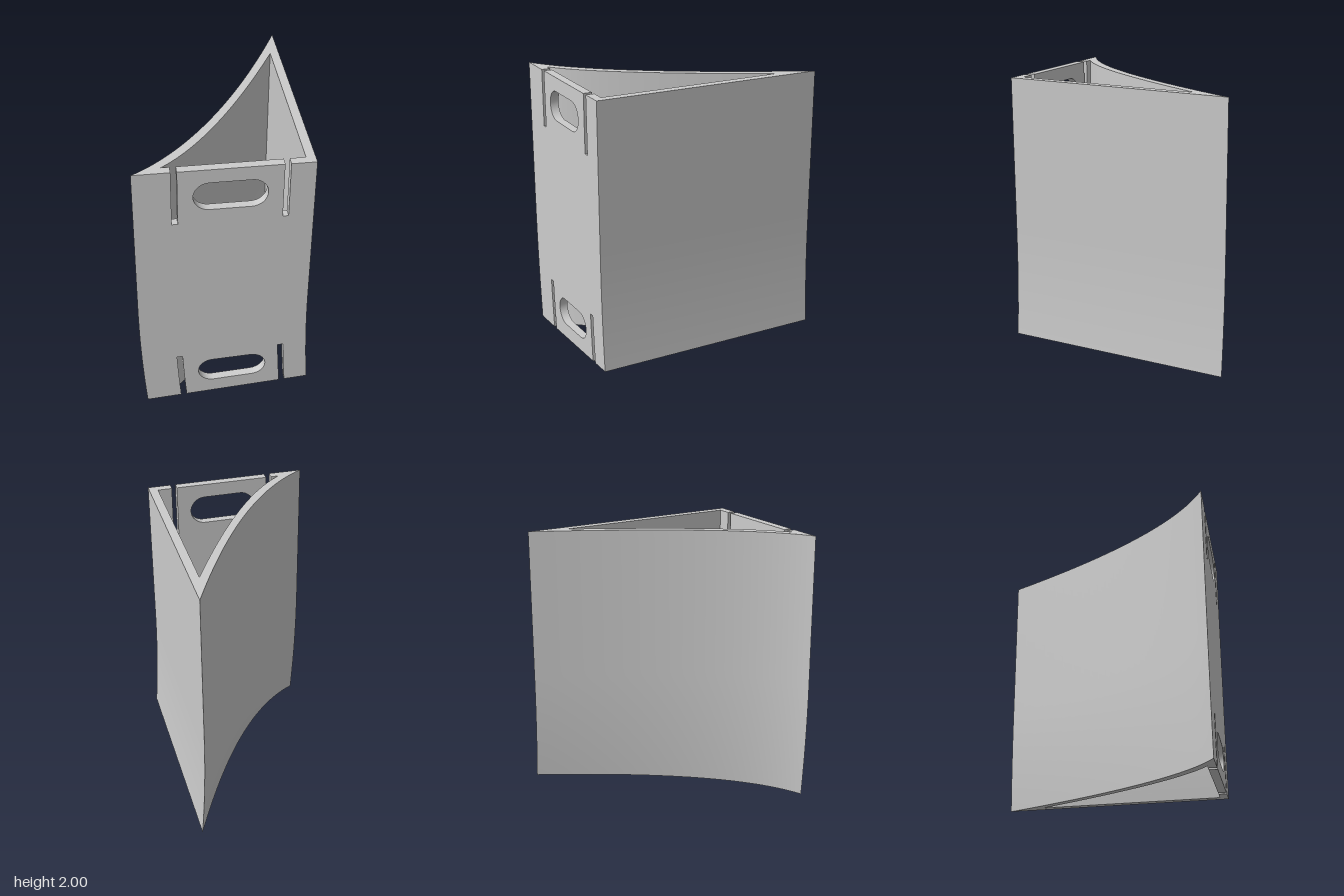
import * as THREE from 'three';
import { toCreasedNormals } from 'three/addons/utils/BufferGeometryUtils.js';

const H = 2, FRONT = 0.826, INNER = 0.766, SIDE = 0.503;
const BEND_Y = 0.904, BEND_ANGLE = 0.0815, BEND_X = 10.5;

// Straight above BEND_Y, an arc towards +x below it
function bend(x, y) {
  if (y >= BEND_Y) return new THREE.Vector2(x, y);
  const a = (1 - y / BEND_Y) * BEND_ANGLE, r = BEND_X - x;
  return new THREE.Vector2(BEND_X - r * Math.cos(a), BEND_Y - r * Math.sin(a));
}

// Curved wall, side wall and the sharp corner as one bent extrusion
function wallGeometry() {
  const v = (x, z) => new THREE.Vector2(x, -z);
  const outer = new THREE.QuadraticBezierCurve(v(-0.6, FRONT), v(-0.05, 0.515), v(0.565, -FRONT));
  const inner = new THREE.QuadraticBezierCurve(v(SIDE, -0.552), v(-0.035, 0.505), v(-0.41, INNER));
  const shape = new THREE.Shape([
    v(-0.41, FRONT), ...outer.getPoints(28), v(0.565, FRONT), v(SIDE, FRONT), ...inner.getPoints(28),
  ]);
  const geo = new THREE.ExtrudeGeometry(shape, { depth: H, steps: 40, bevelEnabled: false });
  geo.rotateX(-Math.PI / 2);
  const p = geo.attributes.position;
  for (let i = 0; i < p.count; i++) {
    const q = bend(p.getX(i), p.getY(i));
    p.setXY(i, q.x, q.y);
  }
  return toCreasedNormals(geo, 0.5);
}

// Front panel with open slots and a rounded handhold at each end
function panelGeometry() {
  const slots = [[-0.355, -0.316], [0.362, 0.4]], topSlot = 0.407, bottomSlot = 0.393;
  const pts = [];
  const add = (x, y) => pts.push(bend(x, y));
  const line = (x, y0, y1, n) => {
    for (let i = 0; i <= n; i++) add(x, y0 + (y1 - y0) * i / n);
  };
  add(-0.41, 0);
  for (const [a, b] of slots) {
    line(a, 0, bottomSlot, 6);
    line(b, bottomSlot, 0, 6);
  }
  line(SIDE, 0, H, 40);
  for (const [a, b] of [...slots].reverse()) {
    add(b, H); add(b, H - topSlot);
    add(a, H - topSlot); add(a, H);
  }
  line(-0.41, H, H / 40, 39);
  const shape = new THREE.Shape(pts);

  const r = 0.104, half = 0.136;
  for (const [cx, cy] of [[0.027, 0.219], [0.023, 1.796]]) {
    const hole = [];
    for (const side of [1, -1]) {
      for (let i = 0; i <= 16; i++) {
        const a = -Math.PI / 2 + Math.PI * i / 16;
        hole.push(bend(cx + side * (half + r * Math.cos(a)), cy + side * r * Math.sin(a)));
      }
    }
    shape.holes.push(new THREE.Path(hole));
  }
  const geo = new THREE.ExtrudeGeometry(shape, { depth: FRONT - INNER, bevelEnabled: false });
  geo.translate(0, 0, INNER);
  return toCreasedNormals(geo, 0.5);
}

export function createModel() {
  const group = new THREE.Group();
  group.name = 'bentCornerDuct';
  const grey = new THREE.MeshStandardMaterial({ color: 0xcccccc });
  grey.name = 'grey';
  const parts = { curvedAndSideWalls: wallGeometry(), slottedFrontPanel: panelGeometry() };
  for (const [name, geo] of Object.entries(parts)) {
    const mesh = new THREE.Mesh(geo, grey);
    mesh.name = name;
    group.add(mesh);
  }
  return group;
}
